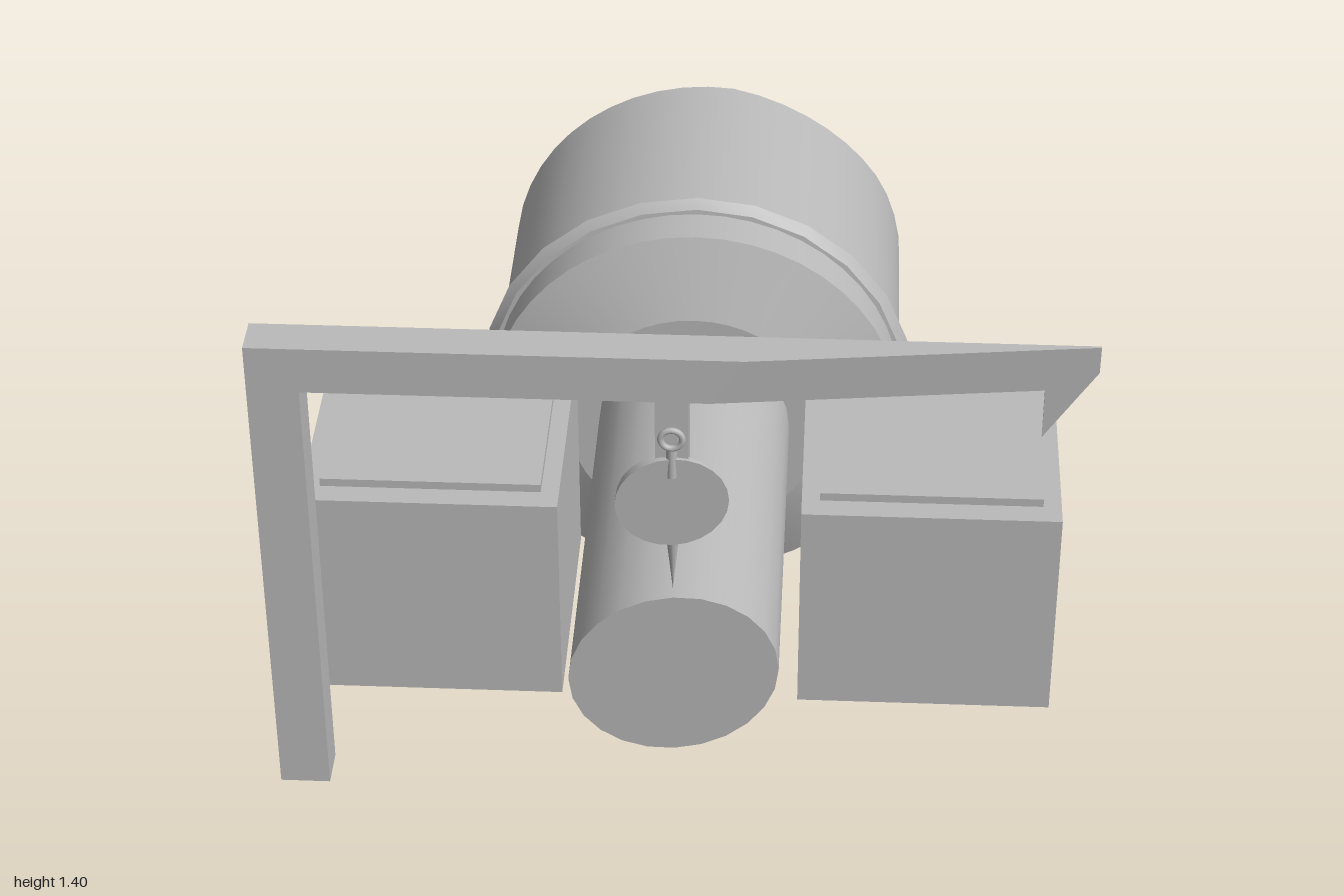
import * as THREE from 'three';
import { toCreasedNormals } from 'three/addons/utils/BufferGeometryUtils.js';

const AXIS_Y = 0.527;

// Slanted planes that trim the front and back ends
const frontPlane = (x, y) => 0.99 - 0.117 * (x - 0.15) + 0.078 * (y - 1.4);
const backPlane = (x, y) => -0.912 + 0.21 * x + 0.29 * (y - AXIS_Y);

function trim(geometry) {
  const p = geometry.attributes.position;
  for (let i = 0; i < p.count; i++) {
    const x = p.getX(i), y = p.getY(i);
    p.setZ(i, Math.max(backPlane(x, y), Math.min(frontPlane(x, y), p.getZ(i))));
  }
  return toCreasedNormals(geometry, 0.32);
}

// Turned part along z; profile is [radius, z] from back to front
function turned(profile, y, segments = 24) {
  const points = profile.map(([r, z]) => new THREE.Vector2(r, z));
  const g = new THREE.LatheGeometry(points, segments);
  g.rotateX(Math.PI / 2);
  g.translate(0, y, 0);
  return trim(g);
}

export function createModel() {
  const model = new THREE.Group();
  model.name = 'model';
  const grey = new THREE.MeshStandardMaterial({ color: 0xbababa });
  grey.name = 'plain grey';

  const add = (name, geometry, parent = model) => {
    const mesh = new THREE.Mesh(geometry, grey);
    mesh.name = name;
    parent.add(mesh);
    return mesh;
  };
  const box = (x0, x1, y0, y1, z0, z1) =>
    new THREE.BoxGeometry(x1 - x0, y1 - y0, z1 - z0)
      .translate((x0 + x1) / 2, (y0 + y1) / 2, (z0 + z1) / 2);

  // Long pipe through the middle
  add('pipe', turned([[0, -1.1], [0.23, -1.1], [0.23, 1.1], [0, 1.1]], AXIS_Y));

  // Drum with bevelled ends; the back is finely divided so the trim is clean
  const drum = [];
  const steps = 16;
  for (let i = 0; i < steps; i++) drum.push([0.305 * i / steps, -0.83]);
  for (let i = 0; i <= steps; i++) {
    drum.push([0.305 + 0.19 * i / steps, -0.83 + 0.075 * i / steps]);
  }
  drum.push([0.495, -0.7], [0.495, -0.06], [0.305, 0.01], [0, 0.01]);
  add('drum', turned(drum, AXIS_Y, 48));

  // Raised band around the drum
  add('drumBand', turned([
    [0.49, -0.205], [0.507, -0.203], [0.527, -0.182], [0.507, -0.161], [0.49, -0.159],
  ], AXIS_Y));

  // A box with a thin lid on each side
  for (const side of [-1, 1]) {
    const crate = new THREE.Group();
    crate.name = side > 0 ? 'leftCrate' : 'rightCrate';
    model.add(crate);
    add('crateBody', box(-0.2875, 0.2875, 0.26, 0.795, 0.125, 0.7), crate);
    add('crateLid', box(-0.247, 0.247, 0.795, 0.815, 0.183, 0.647), crate);
    crate.position.x = side * 0.5575;
  }

  // Frame: a post and beam, whose far end tapers away along the front plane
  const frame = new THREE.Group();
  frame.name = 'frame';
  model.add(frame);
  const slab = (outline) => {
    const shape = new THREE.Shape(outline.map(([x, y]) => new THREE.Vector2(x, y)));
    return new THREE.ExtrudeGeometry(shape, { depth: 0.09, bevelEnabled: false })
      .translate(0, 0, 0.9);
  };
  add('postAndBeam', slab([
    [-0.88, 0.225], [-0.77, 0.225], [-0.77, 1.297], [0.079, 1.297], [0.15, 1.405], [-0.88, 1.405],
  ]), frame);
  add('taperedBeamEnd', trim(slab([
    [0.079, 1.297], [0.77, 1.297], [0.77, 1.17], [0.88, 1.338], [0.88, 1.405], [0.15, 1.405],
  ])), frame);

  // Hanging dial with hook, cone back and pointer
  const dial = new THREE.Group();
  dial.name = 'dial';
  model.add(dial);
  add('hanger', box(-0.035, 0.035, 1.11, 1.297, 0.92, 0.978), dial);
  add('eyelet', new THREE.TorusGeometry(0.023, 0.007, 8, 20).translate(0, 1.2, 0.985), dial);
  add('hookStem', new THREE.CylinderGeometry(0.012, 0.012, 0.08, 10)
    .translate(0, 1.14, 0.978), dial);
  add('dialCone', turned([[0, 0.865], [0.12, 0.97], [0.12, 1.05], [0, 1.05]], 1.03), dial);
  add('pointer', new THREE.ConeGeometry(0.016, 0.16, 10).rotateX(Math.PI)
    .translate(0, 0.86, 0.955), dial);

  return model;
}
